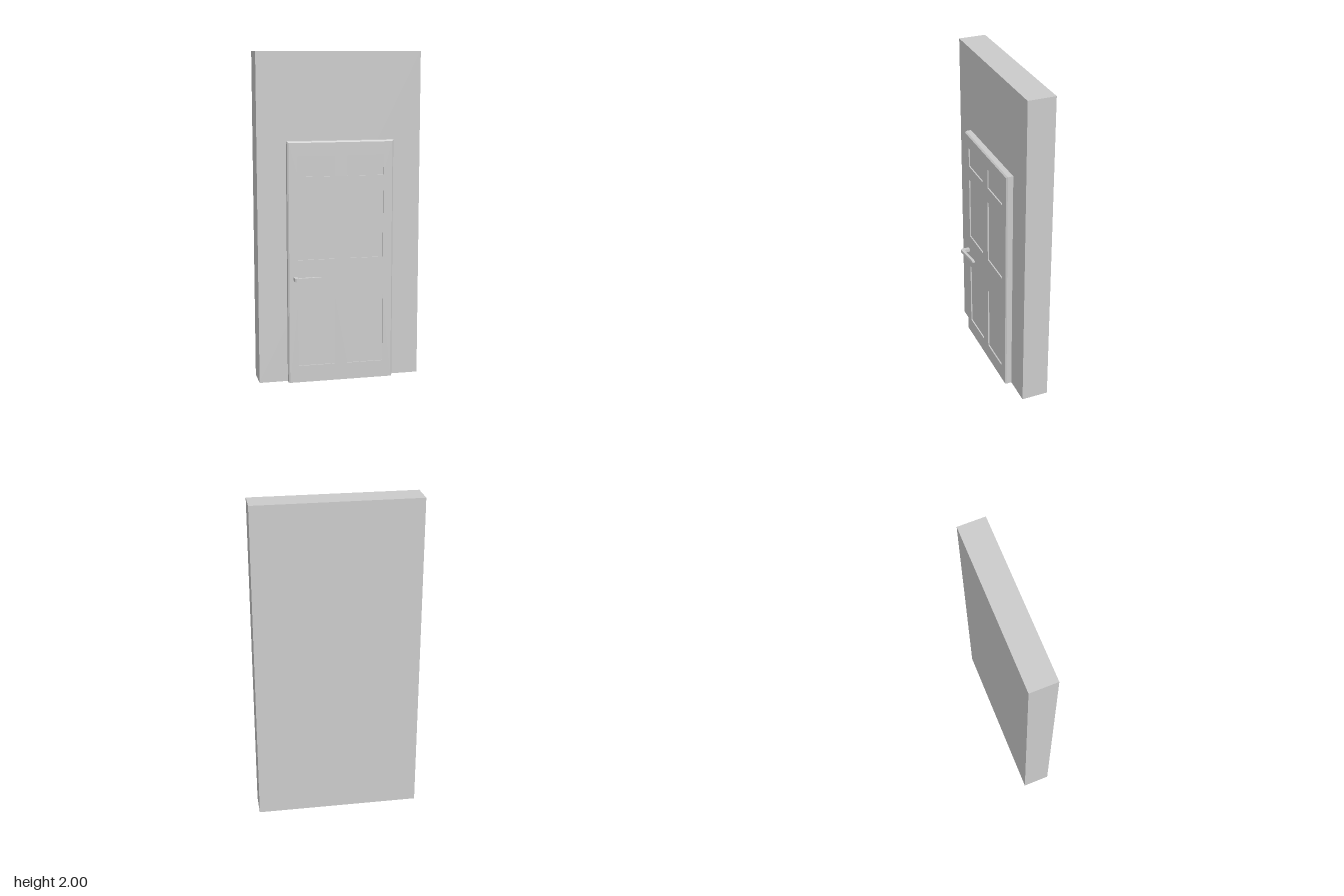
import * as THREE from 'three';

const material = new THREE.MeshStandardMaterial({ color: 0xcccccc, flatShading: true });

function addMesh(parent, name, geometry) {
  const mesh = new THREE.Mesh(geometry, material);
  mesh.name = name;
  parent.add(mesh);
  return mesh;
}

// Move every vertex of a geometry by a rule
function reshape(geometry, rule) {
  const pos = geometry.attributes.position;
  const v = new THREE.Vector3();
  for (let i = 0; i < pos.count; i++) {
    rule(v.fromBufferAttribute(pos, i));
    pos.setXYZ(i, v.x, v.y, v.z);
  }
  geometry.computeVertexNormals();
  return geometry;
}

function rectangle(Type, x0, y0, x1, y1) {
  return new Type([[x0, y0], [x1, y0], [x1, y1], [x0, y1]].map(([x, y]) => new THREE.Vector2(x, y)));
}

export function createModel() {
  const model = new THREE.Group();
  model.name = 'doorInWall';

  // Wall
  const wallBack = -0.132, wallFront = 0.034;
  addMesh(model, 'wall', new THREE.BoxGeometry(1, 2, wallFront - wallBack))
    .position.set(0, 1, (wallFront + wallBack) / 2);

  // Door slab, whose front is the floor of the recessed panels
  const halfWidth = 0.325, height = 1.475, slabFront = 0.067, chamfer = 0.008;
  const door = new THREE.Group();
  door.name = 'door';
  model.add(door);
  addMesh(door, 'doorSlab', new THREE.BoxGeometry(halfWidth * 2, height, slabFront - wallFront))
    .position.set(0, height / 2, (slabFront + wallFront) / 2);

  // Door face with six panel openings and chamfered sides and top
  const face = rectangle(THREE.Shape, -halfWidth, 0, halfWidth, height);
  for (const [y0, y1] of [[0.104, 0.534], [0.762, 1.17], [1.265, 1.387]]) {
    for (const x of [-0.151, 0.151]) {
      face.holes.push(rectangle(THREE.Path, x - 0.112, y0, x + 0.112, y1));
    }
  }
  const faceGeometry = new THREE.ExtrudeGeometry(face, { depth: chamfer, bevelEnabled: false });
  reshape(faceGeometry, (v) => {
    if (v.z < chamfer / 2) return;
    if (Math.abs(v.x) > halfWidth - 0.001) v.x -= Math.sign(v.x) * chamfer;
    if (v.y > height - 0.001) v.y -= chamfer;
  });
  addMesh(door, 'doorFace', faceGeometry).position.z = slabFront;

  // Lever handle: bent outline seen from above, narrowed at the tip
  const outline = [
    [-0.292, 0.07], [-0.27, 0.07], [-0.27, 0.111], [-0.146, 0.098], [-0.128, 0.096],
    [-0.128, 0.113], [-0.146, 0.115], [-0.283, 0.131], [-0.292, 0.122],
  ].map(([x, z]) => new THREE.Vector2(x, z));
  const thickness = 0.02;
  const handle = new THREE.ExtrudeGeometry(new THREE.Shape(outline), { depth: thickness, bevelEnabled: false });
  handle.translate(0, 0, -thickness / 2).rotateX(Math.PI / 2);
  reshape(handle, (v) => { if (v.x > -0.13) v.y *= 0.5; });
  addMesh(door, 'leverHandle', handle).position.y = 0.651;

  return model;
}
